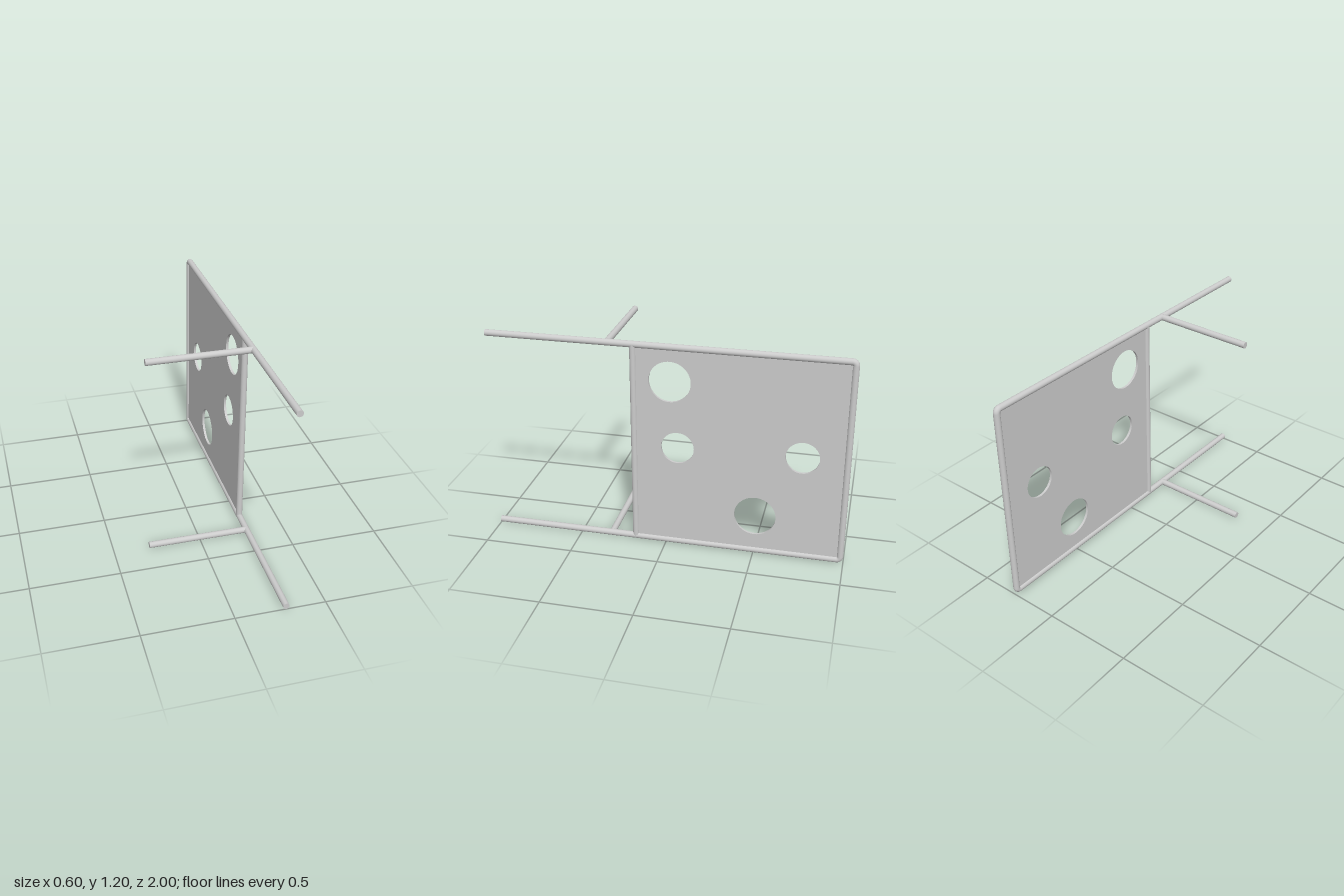
import * as THREE from 'three';

const R = 0.018;              // tube radius
const X = 0.28;               // plane of the frame
const LOW = R, HIGH = 1.18;   // heights of the two rails
const BACK = -1 + R;          // rear upright
const POST = 0.176;           // inner upright
const BEND = 0.02;            // elbow radius

export function createModel() {
  const group = new THREE.Group();
  const material = new THREE.MeshStandardMaterial({ color: 0xcccccc });

  const add = (name, geometry) => {
    const mesh = new THREE.Mesh(geometry, material);
    mesh.name = name;
    group.add(mesh);
    return mesh;
  };

  // Straight round bar between two points
  const bar = (name, from, to) => {
    const a = new THREE.Vector3(...from), b = new THREE.Vector3(...to);
    const dir = b.clone().sub(a);
    const mesh = add(name, new THREE.CylinderGeometry(R, R, dir.length(), 24));
    mesh.position.copy(a).add(b).multiplyScalar(0.5);
    mesh.quaternion.setFromUnitVectors(new THREE.Vector3(0, 1, 0), dir.normalize());
  };

  // Rails, side arms and rear elbows, top and bottom
  for (const [side, y, s] of [['lower', LOW, -1], ['upper', HIGH, 1]]) {
    bar(side + 'Rail', [X, y, 1], [X, y, BACK + BEND]);
    bar(side + 'Arm', [-0.298, y, 0.318], [X, y, 0.318]);
    const elbow = add(side + 'Elbow', new THREE.TorusGeometry(BEND, R, 20, 12, Math.PI / 2));
    elbow.position.set(X, y - s * BEND, BACK + BEND);
    elbow.rotation.set(s > 0 ? 0 : -Math.PI / 2, Math.PI / 2, 0, 'XYZ');
    if (s < 0) elbow.rotation.set(0, Math.PI / 2, -Math.PI / 2, 'YXZ');
  }

  // Uprights
  bar('rearUpright', [X, LOW + BEND, BACK], [X, HIGH - BEND, BACK]);
  bar('innerUpright', [X, LOW, POST], [X, HIGH, POST]);

  // Panel with four round holes, drawn with shape x = -z
  const panel = new THREE.Shape([
    new THREE.Vector2(-POST, LOW), new THREE.Vector2(-BACK, LOW),
    new THREE.Vector2(-BACK, HIGH), new THREE.Vector2(-POST, HIGH),
  ]);
  // Trim the rear corners so they stay inside the elbows
  const c = 0.012;
  panel.curves.length = 0;
  panel.moveTo(-POST, LOW).lineTo(-BACK - c, LOW).lineTo(-BACK, LOW + c)
    .lineTo(-BACK, HIGH - c).lineTo(-BACK - c, HIGH).lineTo(-POST, HIGH).closePath();
  for (const [z, y, r] of [
    [-0.024, 0.986, 0.115], [-0.067, 0.603, 0.091],
    [-0.746, 0.618, 0.091], [-0.503, 0.234, 0.115],
  ]) {
    panel.holes.push(new THREE.Path().absarc(-z, y, r, 0, Math.PI * 2, true));
  }
  const depth = 0.014;
  const sheet = add('panel', new THREE.ExtrudeGeometry(panel, { depth, bevelEnabled: false, curveSegments: 32 }));
  sheet.rotation.y = Math.PI / 2;
  sheet.position.x = X - depth / 2;

  return group;
}
